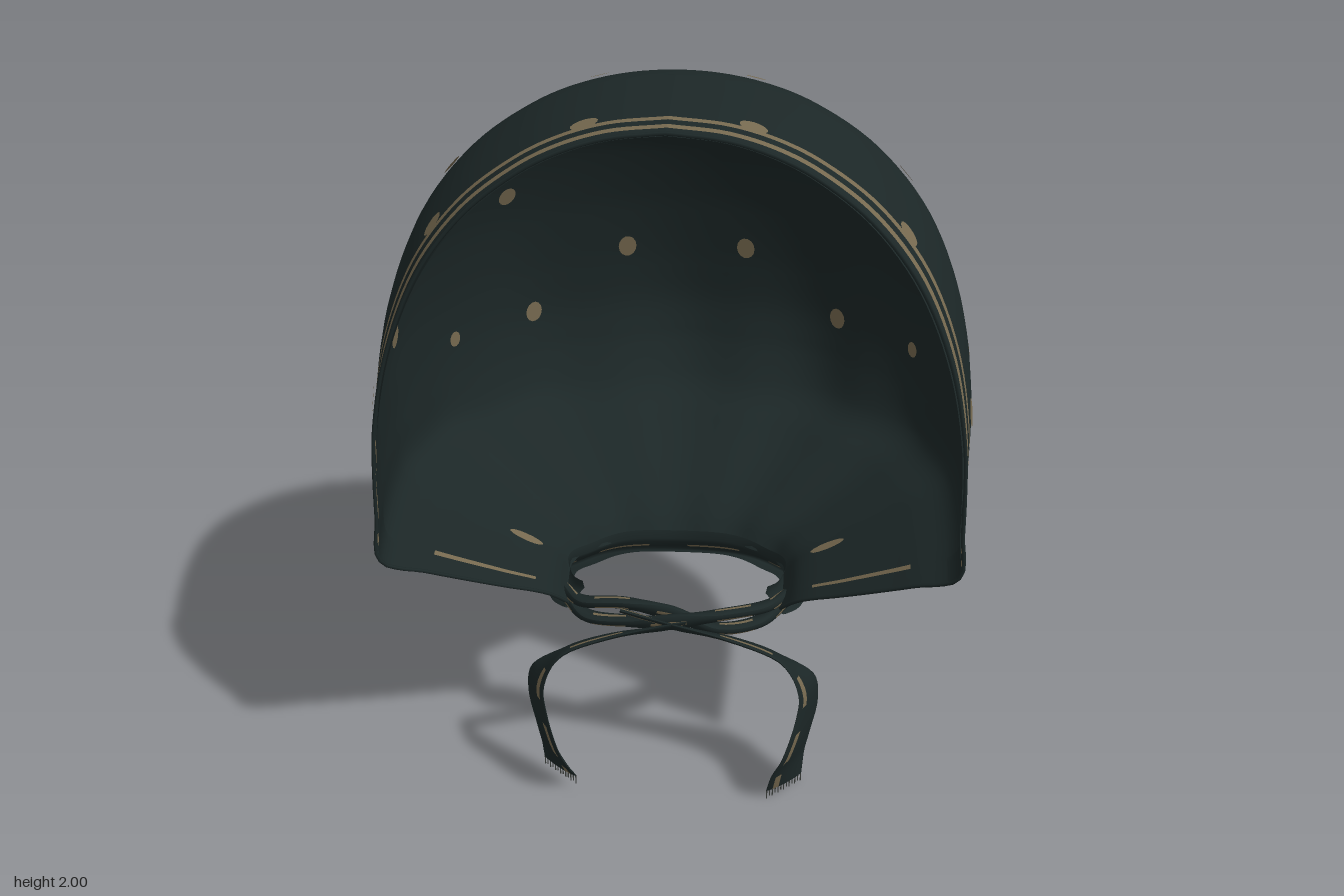
import * as THREE from 'three';

const V = (x, y, z) => new THREE.Vector3(x, y, z);

// Smooth grid surface; isTrim(i, j) picks the second material for a cell
function sheet(name, rows, cols, point, mats, isTrim = () => false) {
  const pos = [], cloth = [], trim = [];
  for (let i = 0; i <= rows; i++)
    for (let j = 0; j <= cols; j++) pos.push(...point(i, j).toArray());
  for (let i = 0; i < rows; i++)
    for (let j = 0; j < cols; j++) {
      const a = i * (cols + 1) + j, b = a + cols + 1;
      (isTrim(i, j) ? trim : cloth).push(a, b, a + 1, b, b + 1, a + 1);
    }
  const g = new THREE.BufferGeometry();
  g.setAttribute('position', new THREE.Float32BufferAttribute(pos, 3));
  g.setIndex([...cloth, ...trim]);
  g.addGroup(0, cloth.length, 0);
  g.addGroup(cloth.length, trim.length, 1);
  g.computeVertexNormals();
  const m = new THREE.Mesh(g, mats);
  m.name = name;
  return m;
}

// Levels of the hood: y, widest half width, half width at the opening, front z, middle z, back z
const LEVELS = [
  [2.0, 0, 0, 0.51, 0.12, 0.12], [1.985, 0.145, 0.13, 0.51, 0.12, 0.03],
  [1.95, 0.266, 0.238, 0.51, 0.12, -0.06], [1.9, 0.368, 0.33, 0.51, 0.12, -0.15],
  [1.8, 0.503, 0.453, 0.51, 0.12, -0.27], [1.65, 0.623, 0.565, 0.51, 0.12, -0.385],
  [1.45, 0.707, 0.65, 0.51, 0.12, -0.465], [1.25, 0.745, 0.695, 0.512, 0.12, -0.51],
  [1.12, 0.75, 0.707, 0.513, 0.12, -0.523], [1.0, 0.75, 0.713, 0.514, 0.12, -0.505],
  [0.88, 0.74, 0.718, 0.515, 0.12, -0.45], [0.8, 0.62, 0.61, 0.45, 0.11, -0.36],
  [0.7, 0.46, 0.455, 0.36, 0.1, -0.225], [0.62, 0.34, 0.335, 0.285, 0.09, -0.13],
  [0.56, 0.3, 0.29, 0.24, 0.085, -0.085],
];
const curveA = new THREE.CatmullRomCurve3(LEVELS.map(l => V(l[0], l[1], l[2])));
const curveB = new THREE.CatmullRomCurve3(LEVELS.map(l => V(l[3], l[4], l[5])));

// s: 0 at the opening, 1 at the widest place, 2 at the middle of the back
function hoodPoint(v, s, side) {
  const { x: y, y: wide, z: open } = curveA.getPoint(v);
  const { x: front, y: mid, z: back } = curveB.getPoint(v);
  if (s <= 1) {
    const x = open + (wide - open) * Math.sin(s * Math.PI / 2);
    return V(side * x, y, front + (mid - front) * s);
  }
  const a = (s - 1) * Math.PI / 2;
  // gathered pleats toward the neck
  const low = THREE.MathUtils.smoothstep(1.5 - y, 0, 0.75);
  const fold = 1 + 0.028 * low * Math.sin(a) * Math.cos(a * 12 + (side > 0 ? 0 : 0.5) * Math.cos(a));
  return V(side * wide * Math.cos(a) * fold, y, mid + (back - mid) * Math.sin(a) * fold);
}

export function createModel() {
  const group = new THREE.Group();
  group.name = 'tiedHeadscarf';
  const material = (name, color) => {
    const m = new THREE.MeshStandardMaterial({ color, side: THREE.DoubleSide });
    m.name = name;
    return m;
  };
  const cloth = material('darkTealCloth', 0x1c2727);
  const tan = material('tanPrint', 0x776a50);
  const fringeMat = material('greyFringe', 0x3c3f3c);
  const mats = [cloth, tan];

  // Hood with two printed stripes along its opening
  const half = [0, 0.09, 0.15, 0.225, 0.28, 0.46, 0.64, 0.82, 1];
  for (let k = 1; k <= 30; k++) half.push(1 + k / 30);
  const last = half.length - 1, rows = 84, cols = last * 2;
  group.add(sheet('hood', rows, cols, (i, j) =>
    j <= last ? hoodPoint(i / rows, half[j], 1) : hoodPoint(i / rows, half[cols - j], -1),
  mats, (i, j) => {
    const c = Math.min(j, cols - 1 - j), v = i / rows;
    return (c === 1 && v < 0.73) || (c === 3 && (v < 0.73 || (v > 0.78 && v < 0.9)));
  }));

  // Plain facing that lines the inside of the opening
  for (const side of [1, -1])
    group.add(sheet('innerFacing', rows, 6, (i, j) => {
      const p = hoodPoint(i / rows, j * 0.05, side);
      return V(p.x * 0.99, p.y - 0.006, p.z);
    }, mats));

  // Rolled hem around the opening
  const hem = [];
  for (let i = -40; i <= 40; i++) hem.push(hoodPoint(Math.abs(i) / 40, 0, i < 0 ? -1 : 1));
  const hemMesh = new THREE.Mesh(new THREE.TubeGeometry(new THREE.CatmullRomCurve3(hem), 160, 0.005, 6), cloth);
  hemMesh.name = 'openingHem';
  group.add(hemMesh);

  // Printed dots on both faces of the cloth: place, then width and height factors
  const dots = [
    [0.185, 1.315, -0.48, 1, 1.3], [0.19, 1.76, -0.31, 0.95, 1], [0.51, 1.53, -0.29, 1, 1.1],
    [0.45, 1.13, -0.39, 1, 1.2], [0.64, 1.13, -0.22, 0.7, 0.9], [0.19, 1.97, 0.03, 0.9, 1],
    [0.56, 1.74, 0.03, 0.95, 1.1], [0.74, 1.27, 0.07, 0.95, 1.3], [0.18, 1.97, 0.398, 1.1, 1.25],
    [0.52, 1.74, 0.398, 1.1, 1.25], [0.73, 1.28, 0.398, 1.1, 1.4], [0.42, 0.67, 0.11, 0.6, 2],
  ];
  const dotGeo = new THREE.CircleGeometry(0.026, 14);
  for (const side of [1, -1])
    for (const [x, y, z, w, h] of dots) {
      const target = V(side * x, y, z);
      let best = [0, 0], near = Infinity;
      for (let i = 1; i < 100; i++)
        for (let j = 1; j < 80; j++) {
          const d = hoodPoint(i / 100, j / 40, side).distanceToSquared(target);
          if (d < near) { near = d; best = [i / 100, j / 40]; }
        }
      const [v, s] = best, p = hoodPoint(v, s, side), e = 0.008;
      const down = hoodPoint(v + e, s, side).sub(hoodPoint(v - e, s, side)).normalize();
      const along = hoodPoint(v, s + e, side).sub(hoodPoint(v, s - e, side));
      const out = down.clone().cross(along).normalize().multiplyScalar(side);
      for (const k of [1, -1]) {
        const n = out.clone().multiplyScalar(k);
        const dot = new THREE.Mesh(dotGeo, tan);
        dot.name = k > 0 ? 'outerDot' : 'innerDot';
        dot.quaternion.setFromRotationMatrix(new THREE.Matrix4().makeBasis(down.clone().cross(n), down, n));
        dot.position.copy(p).addScaledVector(n, 0.006);
        dot.scale.set(w, h, 1);
        group.add(dot);
      }
    }

  // Flared band around the nape
  const band = [[0.585, 0.305, 0.17], [0.56, 0.3, 0.165], [0.545, 0.315, 0.17], [0.53, 0.33, 0.178],
    [0.522, 0.34, 0.182], [0.505, 0.37, 0.195], [0.5, 0.36, 0.19], [0.52, 0.29, 0.155]];
  group.add(sheet('neckBand', band.length - 1, 64, (i, j) => {
    const a = -0.6 + (Math.PI + 1.2) * j / 64, [y, rx, rz] = band[i];
    const w = 1 + 0.012 * Math.sin(a * 9);
    return V(rx * Math.cos(a) * w, y + 0.004 * Math.sin(a * 7), 0.085 - rz * Math.sin(a) * w);
  }, mats, (i, j) => i === 3 && j % 12 < 7));

  // Soft ribbon: path points with half-width vectors
  function ribbon(name, path, widths, thick) {
    const c = new THREE.CatmullRomCurve3(path.map(p => V(...p)));
    const w = new THREE.CatmullRomCurve3(widths.map(p => V(...p)));
    const n = 40, sides = 16;
    return sheet(name, n, sides, (i, j) => {
      const t = i / n, a = j / sides * Math.PI * 2, wide = w.getPoint(t);
      const normal = c.getTangent(t).cross(wide).normalize();
      return c.getPoint(t).addScaledVector(wide, Math.cos(a)).addScaledVector(normal, thick * Math.sin(a));
    }, mats, (i, j) => (j === 2 || j === 13) && i % 9 < 5);
  }

  for (const s of [1, -1]) {
    // Strand twisted across the throat
    group.add(ribbon('twistedStrand', [
      [s * 0.31, 0.545, 0.16], [s * 0.25, 0.565, 0.24], [s * 0.13, 0.585, 0.29 + s * 0.02],
      [0, 0.57, 0.31 + s * 0.018], [-s * 0.12, 0.54, 0.3 - s * 0.01], [-s * 0.24, 0.525, 0.25], [-s * 0.31, 0.53, 0.16],
    ], [[0, 0.03, 0.02], [0, 0.022, 0.035], [0, 0.022, 0.032], [0, 0.03, 0.015], [0, 0.02, 0.03],
      [0, 0.018, 0.035], [0, 0.025, 0.02]], 0.017));

    // Hanging tie
    const end = s > 0 ? 0.03 : 0.06;
    group.add(ribbon('hangingTie', [
      [-s * 0.14, 0.575, 0.29], [0, 0.56, 0.335], [s * 0.16, 0.53, 0.345], [s * 0.29, 0.48, 0.355], [s * 0.365, 0.39, 0.35],
      [s * 0.37, 0.3, 0.352], [s * 0.345, 0.19, 0.37], [s * 0.325, 0.11, 0.36], [s * 0.317, end, 0.345],
    ], [[0, 0.02, 0.03], [0, 0.025, 0.025], [0, 0.02, 0.035], [0, 0.02, 0.042], [-s * 0.022, 0, 0.047],
      [-s * 0.032, 0, 0.055], [-s * 0.04, 0, 0.068], [-s * 0.047, 0, 0.058], [-s * 0.05, 0, 0.04]], 0.007));

    // Fringe at the end of the tie
    for (let k = -6; k <= 6; k++) {
      const length = k % 2 ? 0.025 : 0.03;
      const thread = new THREE.Mesh(new THREE.BoxGeometry(0.003, length, 0.003), fringeMat);
      thread.name = 'fringeThread';
      thread.position.set(s * (0.317 - k * 0.008), end - length / 2, 0.345 + k * 0.0064);
      group.add(thread);
    }
  }
  return group;
}
